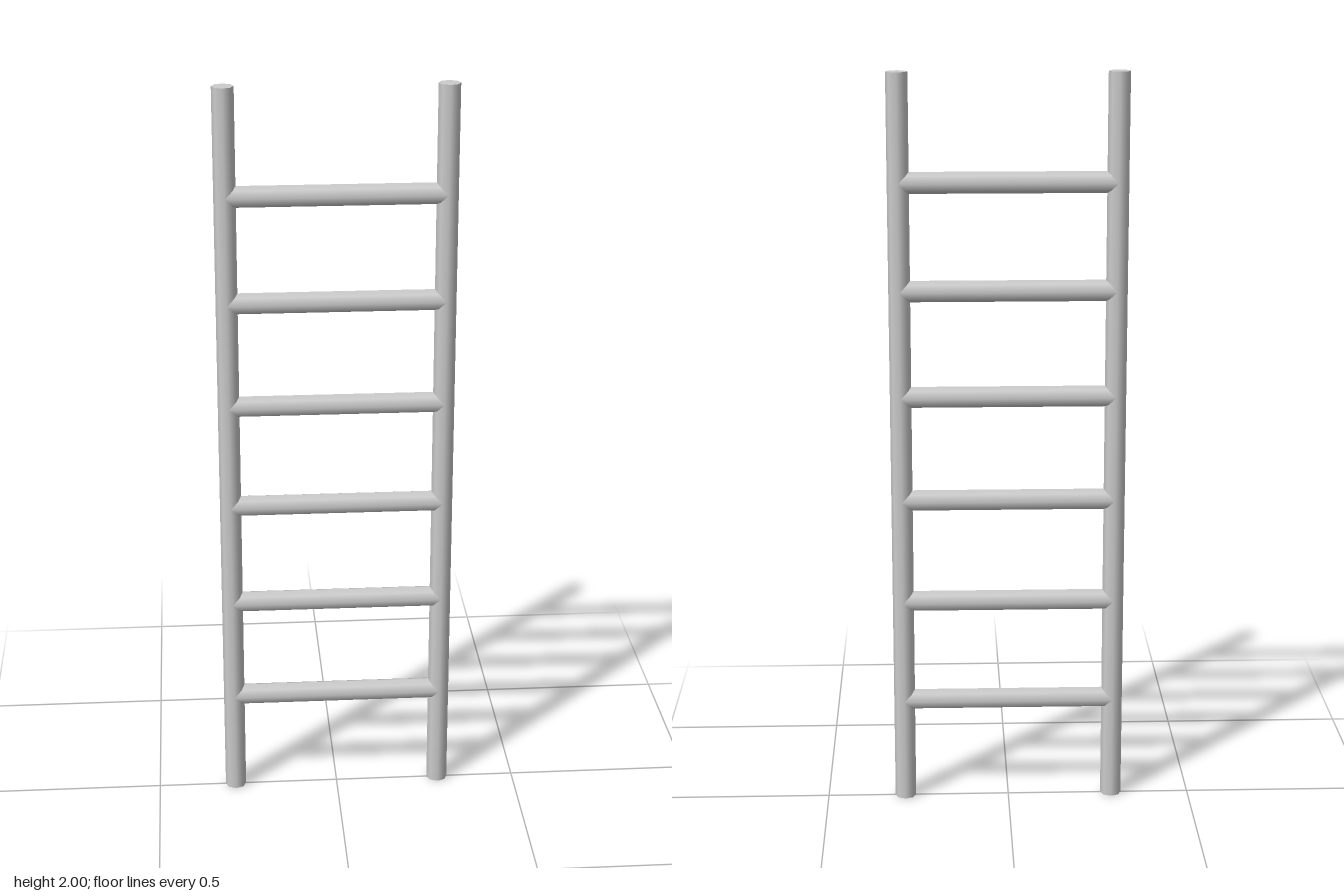
import * as THREE from 'three';

export function createModel() {
  const group = new THREE.Group();
  const material = new THREE.MeshStandardMaterial({ color: 0xcccccc });
  const height = 2, radius = height / 70, railX = height / 7, rungCount = 6;

  // Eight-sided smooth poles
  const railGeometry = new THREE.CylinderGeometry(radius, radius, height, 8);
  const rungGeometry = new THREE.CylinderGeometry(radius, radius, railX * 2, 8).rotateZ(Math.PI / 2);

  function addPart(name, geometry, x, y) {
    const mesh = new THREE.Mesh(geometry, material);
    mesh.name = name;
    mesh.position.set(x, y, 0);
    group.add(mesh);
  }

  // Side rails
  addPart('leftRail', railGeometry, railX, height / 2);
  addPart('rightRail', railGeometry, -railX, height / 2);

  // Evenly spaced rungs, reaching to the rail centres
  for (let i = 1; i <= rungCount; i++) {
    addPart(`rung${i}`, rungGeometry, 0, (height * i) / (rungCount + 1));
  }

  group.name = 'ladder';
  return group;
}
